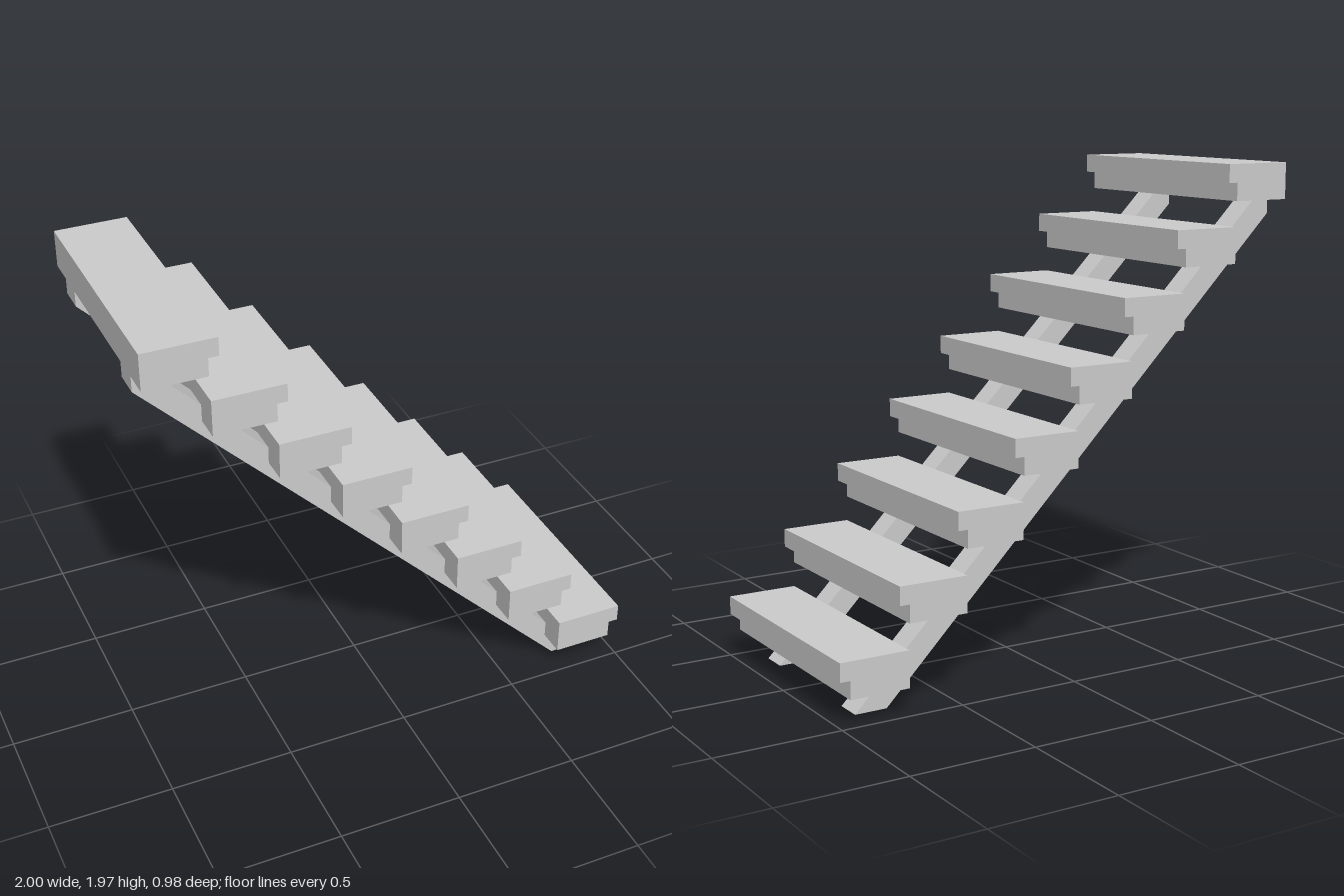
import * as THREE from 'three';

const material = new THREE.MeshStandardMaterial({ color: 0xcccccc, flatShading: true });

// Extrude a side outline (x, y) across z, centred on z = 0
function slab(points, width) {
  const shape = new THREE.Shape(points.map(([x, y]) => new THREE.Vector2(x, y)));
  const geometry = new THREE.ExtrudeGeometry(shape, { depth: width, bevelEnabled: false });
  return geometry.translate(0, 0, -width / 2);
}

export function createModel() {
  const stairs = new THREE.Group();
  stairs.name = 'staircase';

  // Treads with an overhanging nosing, climbing towards -x
  const count = 8;
  const rise = 0.2453;
  const treadGeometry = slab(
    [[0, 0], [0.243, 0], [0.243, 0.072], [0.283, 0.072], [0.283, 0.145], [0, 0.145]], 0.98);
  for (let i = 0; i < count; i++) {
    const tread = new THREE.Mesh(treadGeometry, material);
    tread.name = `tread${i + 1}`;
    tread.position.set(0.717 - i * rise, 0.103 + i * rise, 0);
    stairs.add(tread);
  }

  // Two sloping beams, cut level at the floor and under the top tread
  const beamGeometry = slab(
    [[0.757, 0], [0.888, 0], [-0.932, 1.82], [-1, 1.82], [-1, 1.757]], 0.11);
  for (const side of [-1, 1]) {
    const beam = new THREE.Mesh(beamGeometry, material);
    beam.name = side > 0 ? 'frontStringer' : 'backStringer';
    beam.position.z = side * 0.326;
    stairs.add(beam);
  }

  return stairs;
}
